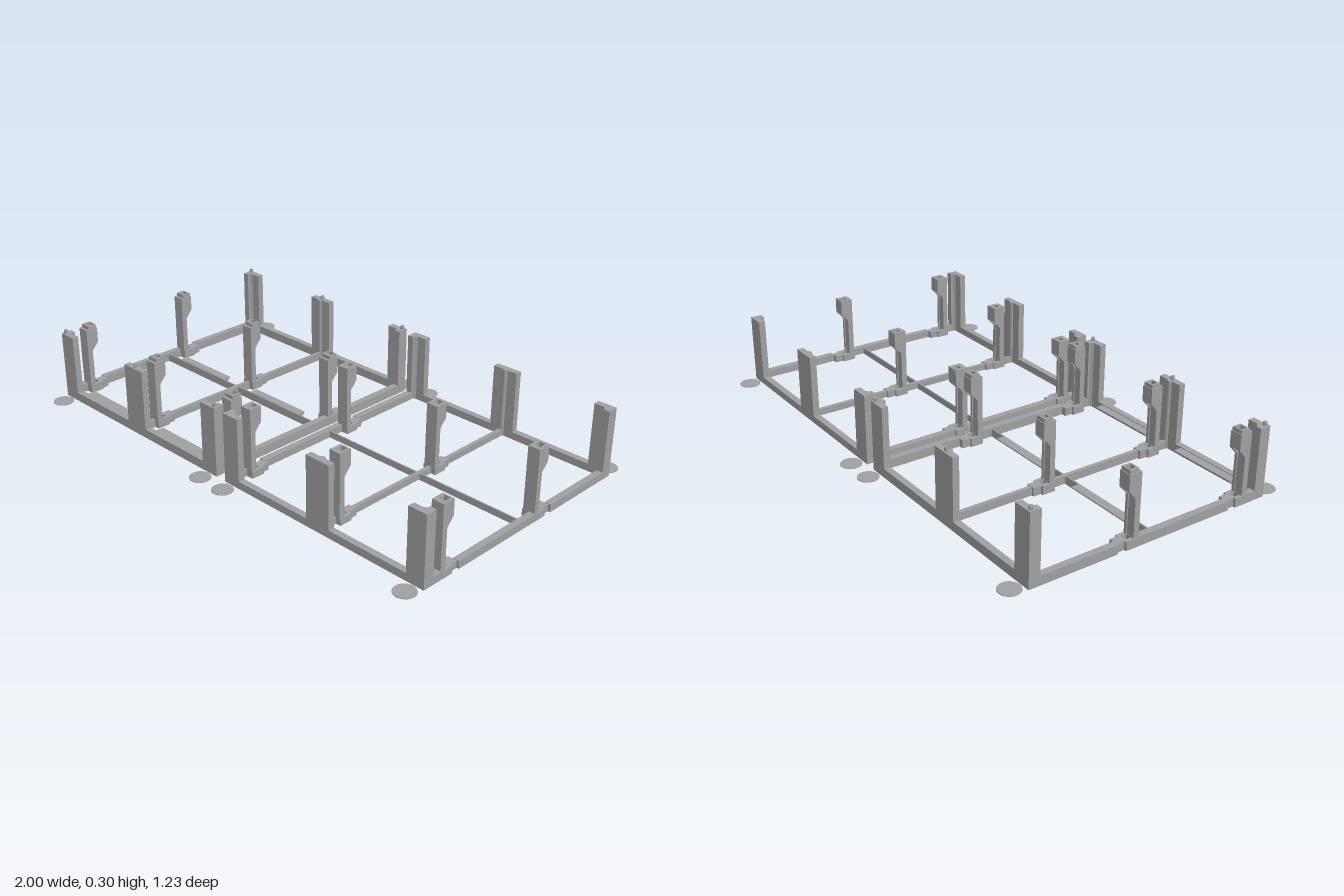
import * as THREE from 'three';

const grey = new THREE.MeshStandardMaterial({ color: 0xa0a0a0 });
grey.name = 'plain grey';

function add(parent, name, geometry) {
  const mesh = new THREE.Mesh(geometry, grey);
  mesh.name = name;
  parent.add(mesh);
  return mesh;
}

// Box given by its limits on each axis
function block(parent, name, x0, x1, y0, y1, z0, z1) {
  const mesh = add(parent, name, new THREE.BoxGeometry(x1 - x0, y1 - y0, z1 - z0));
  mesh.position.set((x0 + x1) / 2, (y0 + y1) / 2, (z0 + z1) / 2);
  return mesh;
}

function rod(parent, name, r, x, y0, y1, z, sides = 16) {
  const mesh = add(parent, name, new THREE.CylinderGeometry(r, r, y1 - y0, sides));
  mesh.position.set(x, (y0 + y1) / 2, z);
  return mesh;
}

// Profile of [z, y] points, extruded along x
function extrudeX(parent, name, points, x0, x1) {
  const shape = new THREE.Shape(points.map(([z, y]) => new THREE.Vector2(-z, y)));
  const geo = new THREE.ExtrudeGeometry(shape, { depth: x1 - x0, bevelEnabled: false });
  geo.rotateY(Math.PI / 2);
  geo.translate(x0, 0, 0);
  return add(parent, name, geo);
}

// Outline of [x, z] points with a square hole, extruded upward
function holedSlab(parent, name, points, holeZ, hole, y0, y1) {
  const shape = new THREE.Shape(points.map(([x, z]) => new THREE.Vector2(x, -z)));
  const h = hole;
  shape.holes.push(new THREE.Path([[-h, -h], [-h, h], [h, h], [h, -h]]
    .map(([x, z]) => new THREE.Vector2(x, z - holeZ))));
  const geo = new THREE.ExtrudeGeometry(shape, { depth: y1 - y0, bevelEnabled: false });
  geo.rotateX(-Math.PI / 2);
  geo.translate(0, y0, 0);
  return add(parent, name, geo);
}

// Upright clip: its back is at z = 0 and its head leans toward -z
function makeClip(hasCap, footHeight) {
  const clip = new THREE.Group();
  clip.name = 'clip';
  holedSlab(clip, 'clipFoot', [[-0.029, 0], [0.029, 0], [0.029, -0.056], [0.019, -0.056],
    [0.019, -0.09], [-0.019, -0.09], [-0.019, -0.056], [-0.029, -0.056]], -0.034, 0.013, 0, footHeight);
  const side = [[0, 0.02], [0, 0.285], [-0.053, 0.285], [-0.053, 0.222], [-0.023, 0.188], [-0.023, 0.02]];
  for (const s of [-1, 1]) {
    const a = s * 0.013, b = s * 0.025;
    extrudeX(clip, 'clipCheek', side, Math.min(a, b), Math.max(a, b));
  }
  block(clip, 'clipWeb', -0.013, 0.013, 0.02, 0.285, -0.019, 0);
  block(clip, 'clipLip', -0.013, 0.013, 0.222, 0.285, -0.053, -0.047);
  if (hasCap) {
    holedSlab(clip, 'clipCap', [[-0.022, -0.012], [0.022, -0.012], [0.022, -0.05], [-0.022, -0.05]],
      -0.033, 0.013, 0.285, 0.3);
  }
  return clip;
}

// One rectangular frame, centred on x = 0
function makeFrame(male) {
  const frame = new THREE.Group();
  frame.name = male ? 'peggedFrame' : 'socketFrame';
  const W = 0.4875, D = 0.525, T = 0.027, top = 0.285;
  const H = male ? 0.037 : 0.031;
  const clipBacks = [0.44, -0.065];
  const spans = [[-D, -0.155], [-0.065, 0.35], [0.44, D]];

  for (const s of [-1, 1]) {
    // Front and back rails with their upright panels
    const z0 = s > 0 ? D - T : -D, z1 = z0 + T;
    block(frame, 'endRail', -W, W, 0, H, z0, z1);
    block(frame, 'middlePanel', -0.055, 0.055, 0, top, z0, z1);
    rod(frame, 'middleRib', 0.013, 0, 0, top, s * 0.502);
    if (male) rod(frame, 'middlePin', 0.008, 0, top, 0.3, s * 0.512);

    // Side rails, interrupted by the clip feet
    for (const [a, b] of spans) {
      const x0 = s > 0 ? W - T : -W;
      block(frame, 'sideRail', x0, x0 + T, 0, H, a, b);
    }

    // L-shaped corner posts, pins and round floor pads
    for (const c of [-1, 1]) {
      const outline = [[W, D], [W - 0.078, D], [W - 0.078, D - T], [W - 0.038, D - T],
        [W - T, D - 0.036], [W - T, D - 0.046], [W, D - 0.046]];
      const shape = new THREE.Shape(outline.map(([x, z]) => new THREE.Vector2(c * x, -s * z)));
      const geo = new THREE.ExtrudeGeometry(shape, { depth: top, bevelEnabled: false });
      geo.rotateX(-Math.PI / 2);
      add(frame, 'cornerPost', geo);
      if (male) rod(frame, 'cornerPin', 0.008, c * (W - 0.013), top, 0.3, s * 0.512);
      rod(frame, 'floorPad', 0.042, c * 0.448, 0, 0.003, s * 0.572, 32);
    }
  }

  // Thin cross bars
  for (const [a, b] of spans) block(frame, 'lengthBar', -0.008, 0.008, 0, H - 0.004, a, b);
  block(frame, 'crossBar', -W + T, W - T, 0, H - 0.004, -0.003, 0.003);
  rod(frame, 'crossHub', 0.012, 0, 0, H - 0.004, 0);

  // Clips in three columns and two rows
  for (const x of [-0.459, 0, 0.459]) {
    for (const z of clipBacks) {
      const clip = makeClip(male, H - 0.002);
      clip.position.set(x, 0, z);
      frame.add(clip);
    }
  }

  // Wedge ledges under which the bars taper
  if (male) {
    for (const z of [0, D - T]) {
      for (const x of [-0.378, 0.087]) {
        extrudeX(frame, 'wedgeLedge', [[z, 0], [z, H - 0.003], [z - 0.036, H - 0.003], [z - 0.036, H - 0.007]],
          x, x + 0.292);
      }
    }
  }
  return frame;
}

export function createModel() {
  const model = new THREE.Group();
  model.name = 'twinFrames';
  const left = makeFrame(false);
  left.position.x = 0.5115;
  const right = makeFrame(true);
  right.position.x = -0.5125;
  model.add(left, right);
  return model;
}
